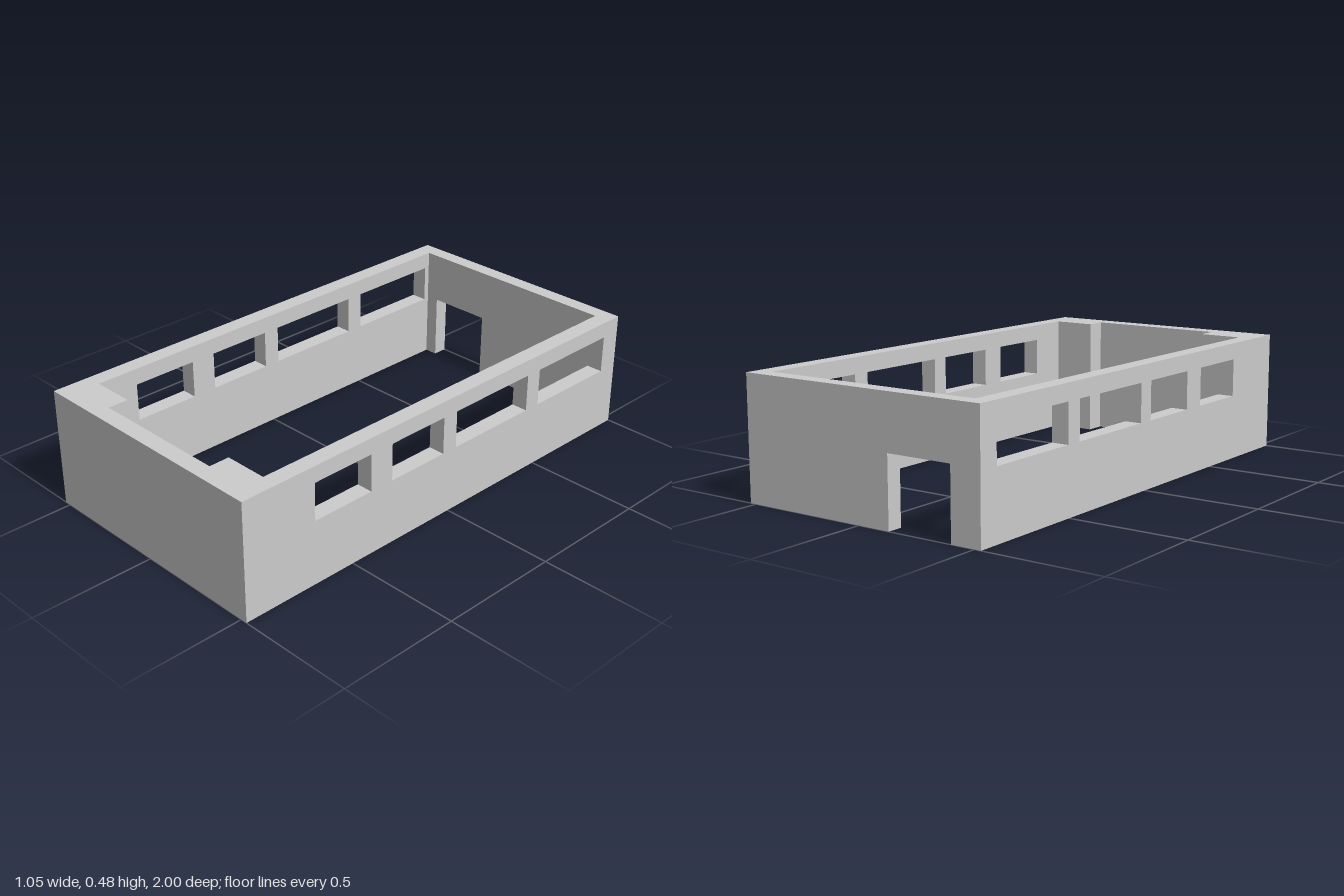
import * as THREE from 'three';

const H = 0.48;                  // wall height
const OUT = 0.527, INN = 0.459;  // outer and inner half widths
const BACK = -0.937, FRONT = 0.931; // inner faces of the end walls

const material = new THREE.MeshStandardMaterial({ color: 0xcccccc, flatShading: true });

const points = (list) => list.map(([a, b]) => new THREE.Vector2(a, b));
const rect = (a0, b0, a1, b1) => points([[a0, b0], [a1, b0], [a1, b1], [a0, b1]]);
const extrude = (shape, depth) => new THREE.ExtrudeGeometry(shape, { depth, bevelEnabled: false });

export function createModel() {
  const group = new THREE.Group();
  const add = (name, geometry) => {
    const mesh = new THREE.Mesh(geometry, material);
    mesh.name = name;
    group.add(mesh);
  };

  // Long side walls, each with four window openings (z ranges)
  const windows = [[0.41, 0.68], [0.036, 0.305], [-0.438, -0.033], [-0.914, -0.508]];
  const side = new THREE.Shape(rect(-1, 0, 1, H));
  for (const [z0, z1] of windows) side.holes.push(new THREE.Path(rect(z0, 0.262, z1, 0.414)));
  for (const [name, x] of [['leftWall', OUT], ['rightWall', -INN]]) {
    add(name, extrude(side, OUT - INN).rotateY(-Math.PI / 2).translate(x, 0, 0));
  }

  // Front wall in plan, with a thick block at both inner corners
  const block = 0.283, blockZ = 0.848;
  const front = new THREE.Shape(points([
    [-INN, 1], [-INN, blockZ], [-block, blockZ], [-block, FRONT],
    [block, FRONT], [block, blockZ], [INN, blockZ], [INN, 1],
  ]));
  add('frontWall', extrude(front, H).rotateX(Math.PI / 2).translate(0, H, 0));

  // Back wall with a doorway cut up from the base
  const door0 = -0.404, door1 = -0.135, doorTop = 0.27;
  const back = new THREE.Shape(points([
    [-INN, 0], [door0, 0], [door0, doorTop], [door1, doorTop],
    [door1, 0], [INN, 0], [INN, H], [-INN, H],
  ]));
  add('backWall', extrude(back, BACK + 1).translate(0, 0, -1));

  return group;
}
